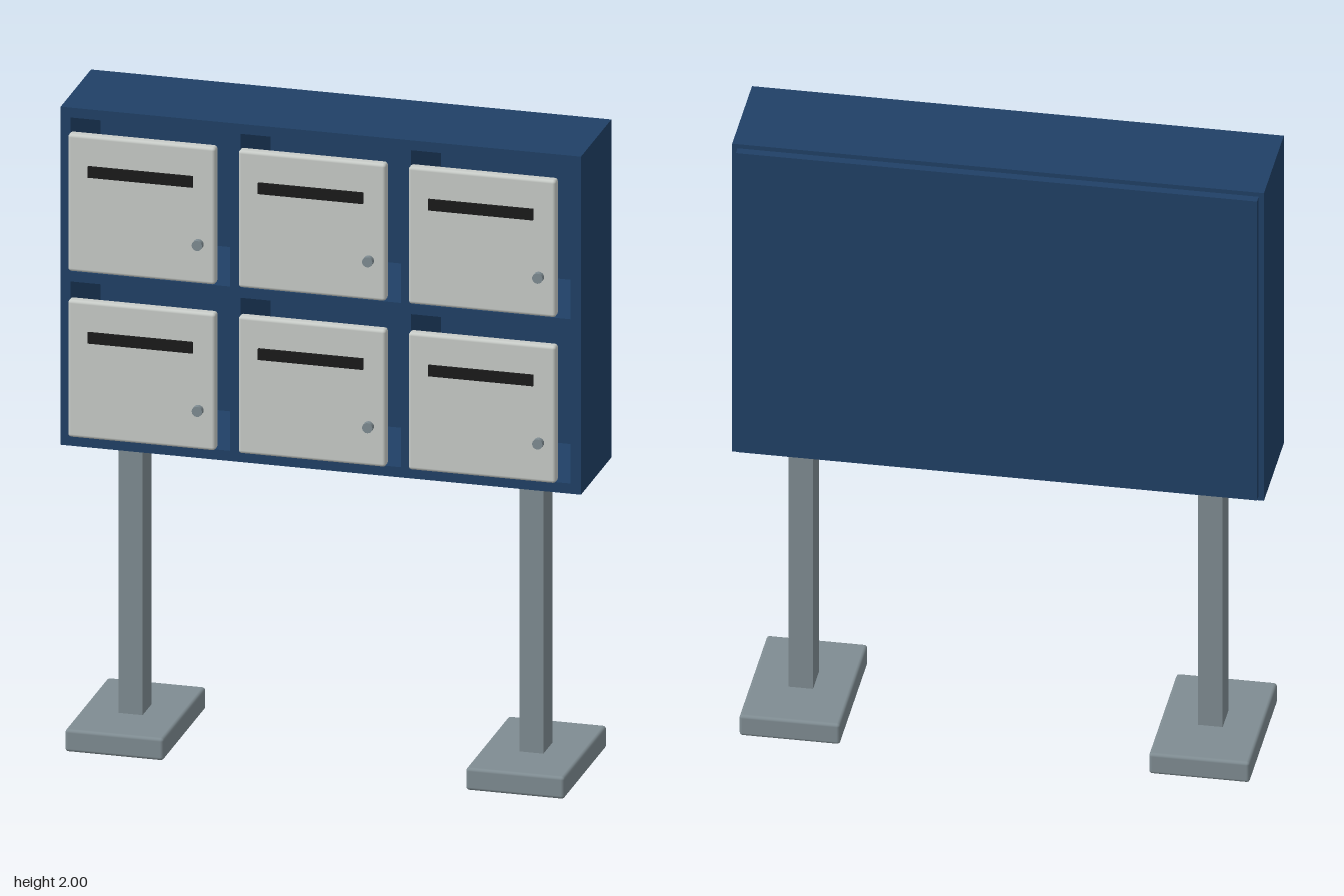
import * as THREE from 'three';
import { RoundedBoxGeometry } from 'three/addons/geometries/RoundedBoxGeometry.js';

const material = (name, color) => {
  const m = new THREE.MeshStandardMaterial({ color });
  m.name = name;
  return m;
};

export function createModel() {
  const blue = material('cabinetBlue', 0x204066);
  const pale = material('doorPaleGrey', 0xc8ccc8);
  const steel = material('steelGrey', 0x7f8c92);
  const black = material('slotBlack', 0x1a1a1a);
  const model = new THREE.Group();
  model.name = 'mailboxCabinet';

  const add = (parent, name, geometry, mat, x, y, z) => {
    const mesh = new THREE.Mesh(geometry, mat);
    mesh.name = name;
    mesh.position.set(x, y, z);
    parent.add(mesh);
    return mesh;
  };
  // Box given by its minimum and maximum on each axis, with optional rounding
  const span = (parent, name, mat, [x0, x1], [y0, y1], [z0, z1], r = 0) => {
    const s = [x1 - x0, y1 - y0, z1 - z0];
    const g = r ? new RoundedBoxGeometry(...s, 2, r) : new THREE.BoxGeometry(...s);
    return add(parent, name, g, mat, (x0 + x1) / 2, (y0 + y1) / 2, (z0 + z1) / 2);
  };

  // Open-fronted cabinet: one extruded frame with six compartment holes
  const front = 0.147, back = -0.185;
  const rect = (path, x0, x1, y0, y1) => {
    path.moveTo(x0, y0);
    path.lineTo(x1, y0);
    path.lineTo(x1, y1);
    path.lineTo(x0, y1);
    path.closePath();
    return path;
  };
  const columns = [[-0.769, -0.28], [-0.248, 0.243], [0.275, 0.763]];
  const rows = [[0.97, 1.454], [1.486, 1.969]];
  const frame = rect(new THREE.Shape(), -0.799, 0.795, 0.938, 2);
  for (const c of columns) for (const r of rows) frame.holes.push(rect(new THREE.Path(), ...c, ...r));
  const frameGeometry = new THREE.ExtrudeGeometry(frame, { depth: front - back, bevelEnabled: false });
  add(model, 'cabinetFrame', frameGeometry, blue, 0, 0, back);

  // Back panel closing the compartments
  span(model, 'backPanel', blue, [-0.783, 0.779], [0.954, 1.986], [-0.213, -0.18]);

  // Doors standing off the frame, each with a mail slot and a round lock
  const doorGeometry = new RoundedBoxGeometry(0.452, 0.431, 0.035, 2, 0.01);
  const slotGeometry = new THREE.BoxGeometry(0.322, 0.034, 0.02);
  const lockGeometry = new THREE.CylinderGeometry(0.016, 0.016, 0.028, 16).rotateX(Math.PI / 2);
  for (const x of [-0.527, -0.005, 0.516]) {
    for (const y of [1.213, 1.734]) {
      const door = new THREE.Group();
      door.name = 'mailboxDoor';
      door.position.set(x, y, 0.2185);
      add(door, 'doorPanel', doorGeometry, pale, 0, 0, 0);
      add(door, 'mailSlot', slotGeometry, black, -0.002, 0.105, 0.0165);
      add(door, 'lock', lockGeometry, steel, 0.175, -0.09, 0.0215);
      model.add(door);
    }
  }

  // Posts reaching up into the cabinet, on wide foot plates
  for (const x of [-0.617, 0.611]) {
    span(model, 'post', steel, [x - 0.037, x + 0.037], [0.04, 1.1], [-0.066, 0.033]);
    span(model, 'footPlate', steel, [x - 0.151, x + 0.151], [0, 0.07], [-0.254, 0.214], 0.01);
  }
  return model;
}
